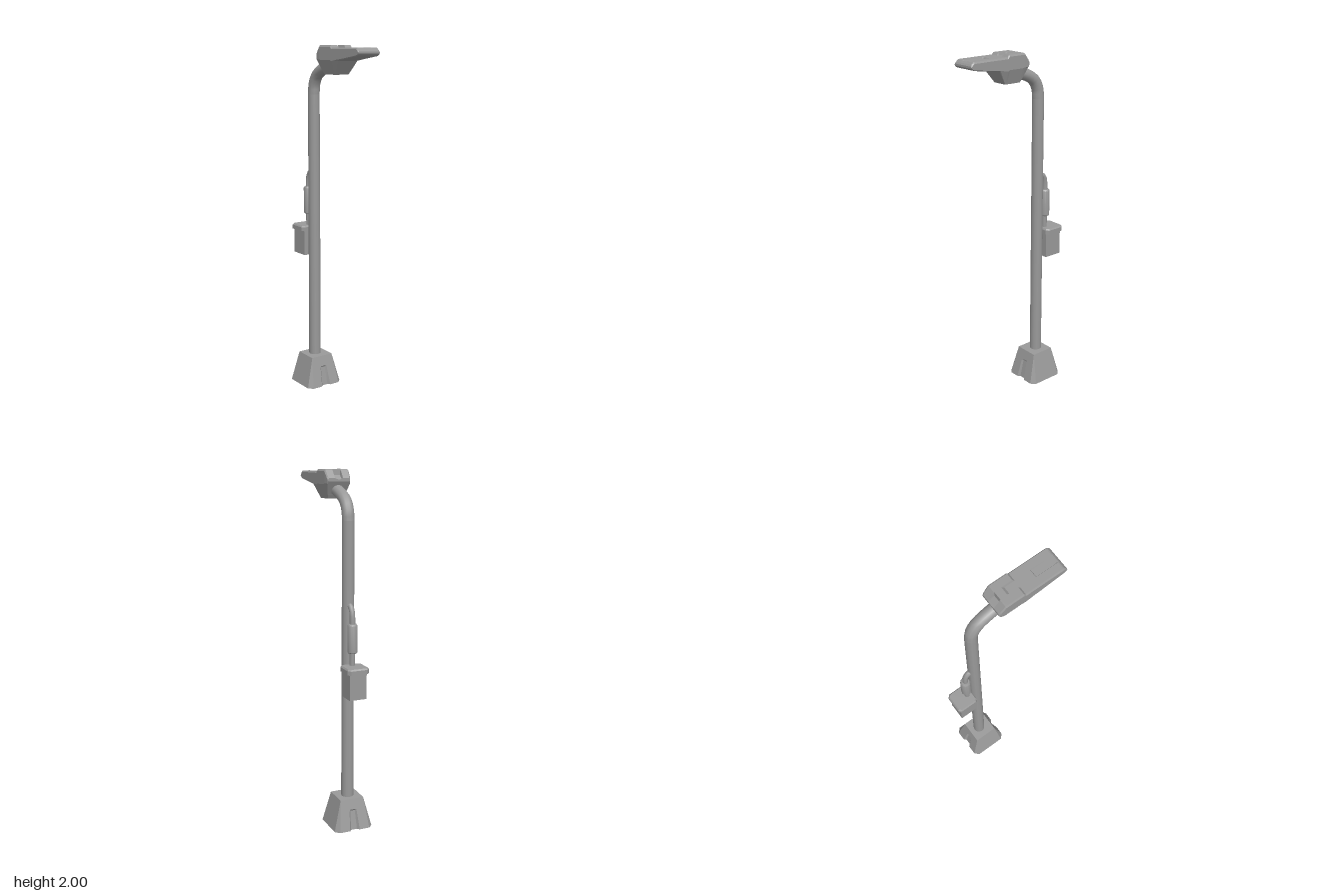
import * as THREE from 'three';
import { toCreasedNormals } from 'three/addons/utils/BufferGeometryUtils.js';

const GREY = 0x999999;
const flat = new THREE.MeshStandardMaterial({ color: GREY, flatShading: true });
const smooth = new THREE.MeshStandardMaterial({ color: GREY });
const shell = new THREE.MeshStandardMaterial({ color: GREY, flatShading: true, side: THREE.DoubleSide });

// Skins a list of rings (each counter-clockwise seen from the far end), with optional end caps
function loft(rings, capStart = true, capEnd = true) {
  const pos = [];
  const tri = (...pts) => pts.forEach((p) => pos.push(...p));
  const n = rings[0].length;
  for (let r = 0; r < rings.length - 1; r++) {
    const a = rings[r], b = rings[r + 1];
    for (let i = 0; i < n; i++) {
      const j = (i + 1) % n;
      tri(a[i], a[j], b[j]);
      tri(a[i], b[j], b[i]);
    }
  }
  const cap = (ring, flip) => {
    const mid = [0, 1, 2].map((k) => ring.reduce((s, p) => s + p[k], 0) / n);
    ring.forEach((p, i) => {
      const q = ring[(i + 1) % n];
      if (flip) tri(mid, q, p); else tri(mid, p, q);
    });
  };
  if (capStart) cap(rings[0], true);
  if (capEnd) cap(rings[rings.length - 1], false);
  const geo = new THREE.BufferGeometry();
  geo.setAttribute('position', new THREE.Float32BufferAttribute(pos, 3));
  geo.computeVertexNormals();
  return geo;
}

// Square ring with cut corners and a notch in its two x sides
function baseRing(y, a, c, depth, outer, inner) {
  const half = [
    [a, a - c], [a, outer], [a - depth, inner], [a - depth, -inner], [a, -outer], [a, c - a],
    [a - c, -a], [c - a, -a],
  ];
  return [...half, ...half.map(([x, z]) => [-x, -z])].map(([x, z]) => [x, y, z]);
}

// Rectangle ring with cut corners
function lidRing(y, hx, hz, c) {
  const half = [[hx, hz - c], [hx, c - hz], [hx - c, -hz], [c - hx, -hz]];
  return [...half, ...half.map(([x, z]) => [-x, -z])].map(([x, z]) => [x, y, z]);
}

// Lamp cross-section: side top, centre channel top and bottom heights at one x
function lampRing([x, top, centre, bottom]) {
  const w = Math.min(0.071, 0.071 - (-0.045 - x) * 0.5);
  const mid = Math.min(Math.max(bottom + 0.004, 1.925), (top + bottom) / 2);
  const side = Math.max(top - 0.009, mid);
  const wb = w - 0.004 - Math.max(0, 1.925 - bottom) * 0.28;
  const half = [[centre, 0.02], [top, 0.024], [top, w - 0.006], [side, w], [mid, w], [bottom, wb]];
  const other = half.map(([y, z]) => [y, -z]).reverse();
  return [...half, ...other].map(([y, z]) => [x, y, z]);
}

const tube = (points, steps, r, sides) => new THREE.TubeGeometry(
  new THREE.CatmullRomCurve3(points.map(([x, y]) => new THREE.Vector3(x, y, 0))), steps, r, sides);

export function createModel() {
  const group = new THREE.Group();
  const add = (name, geo, x = 0, y = 0, mat = flat) => {
    const mesh = new THREE.Mesh(geo, mat);
    mesh.name = name;
    mesh.position.set(x, y, 0);
    group.add(mesh);
  };

  // Hollow tapered foot with a shallow groove on two sides
  add('foot', loft([
    baseRing(0, 0.115, 0.025, 0.014, 0.03, 0.018),
    baseRing(0.108, 0.0872, 0.0096, 0.008, 0.022, 0.014),
    baseRing(0.117, 0.0849, 0.0083, 0, 0.02, 0.014),
    baseRing(0.175, 0.07, 0, 0, 0.02, 0.014),
  ], false, true), -0.175, 0, shell);

  // Round pole and curved neck
  add('pole', new THREE.CylinderGeometry(0.0335, 0.035, 1.58, 12, 1, true), -0.18, 0.95, smooth);
  add('neck', tube([
    [-0.18, 1.73], [-0.174, 1.785], [-0.147, 1.835], [-0.105, 1.863], [-0.035, 1.888], [0.02, 1.905],
  ], 10, 0.0335, 12), 0, 0, smooth);

  // Lamp head: channel at the back, raised fork on top, long recess near the tip
  add('lampHead', loft([
    [-0.058, 1.955, 1.942, 1.937],
    [-0.05, 1.965, 1.948, 1.922],
    [-0.022, 1.999, 1.97, 1.869],
    [-0.02, 2, 2, 1.865],
    [-0.008, 2, 2, 1.844],
    [0.02, 2, 2, 1.844],
    [0.034, 2, 1.988, 1.844],
    [0.082, 2, 1.988, 1.844],
    [0.093, 1.988, 1.988, 1.844],
    [0.146, 1.988, 1.988, 1.918],
    [0.183, 1.988, 1.988, 1.924],
    [0.188, 1.988, 1.979, 1.925],
    [0.31, 1.987, 1.979, 1.942],
    [0.317, 1.985, 1.984, 1.944],
    [0.327, 1.975, 1.975, 1.949],
    [0.333, 1.966, 1.966, 1.956],
  ].map(lampRing)));

  // Control box with a bevelled lid
  add('controlBox', new THREE.BoxGeometry(0.11, 0.15, 0.1), -0.265, 0.86);
  add('boxLid', loft([
    lidRing(0.93, 0.0635, 0.063, 0.015),
    lidRing(0.953, 0.0635, 0.063, 0.015),
    lidRing(0.961, 0.057, 0.057, 0.013),
  ]), -0.2715);

  // Conduit rising from the box through a canister and into the pole
  add('conduit', tube([
    [-0.239, 0.95], [-0.239, 1.1], [-0.239, 1.23], [-0.231, 1.265], [-0.212, 1.284], [-0.18, 1.291],
  ], 16, 0.0155, 10), 0, 0, smooth);
  const profile = [[0, 1.03], [0.024, 1.03], [0.028, 1.035], [0.028, 1.182], [0.022, 1.191], [0, 1.191]]
    .map(([r, y]) => new THREE.Vector2(r, y));
  add('canister', toCreasedNormals(new THREE.LatheGeometry(profile, 12), 0.6), -0.241, 0, smooth);

  return group;
}
